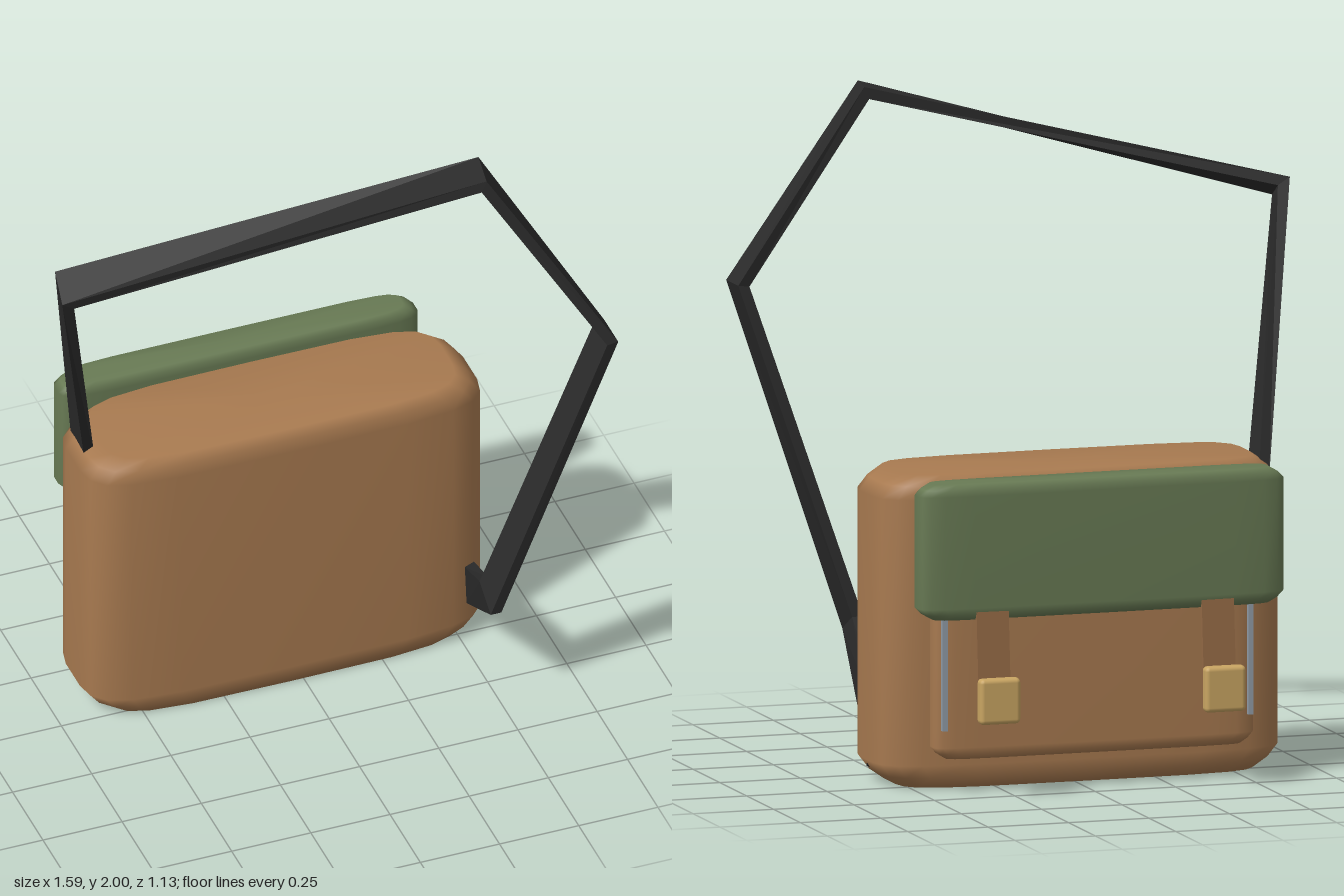
import * as THREE from 'three';
import { RoundedBoxGeometry } from 'three/addons/geometries/RoundedBoxGeometry.js';

const mat = (name, color, side = THREE.FrontSide) => {
  const m = new THREE.MeshStandardMaterial({ color, side });
  m.name = name;
  return m;
};

// Geometry from equal rings of points, each ring listed from +x towards +z
function geometry(points, index) {
  const g = new THREE.BufferGeometry();
  g.setAttribute('position', new THREE.Float32BufferAttribute(points.flat(), 3));
  g.setIndex(index);
  return g;
}

// Soft padded block: rounded plan outline, bevelled top and bottom, smooth normals
function paddedBlock({ cx, cz, hx, hz, y0, y1, bevel, corner }) {
  // [inset in x, fraction of half depth] along one corner
  const quarter = [[0, 0.3], [0.012, 0.58], [0.05, 0.79], [0.12, 0.91], [0.27, 0.985]]
    .map(([inset, f]) => [hx - inset * corner, hz * f]);
  const back = [...quarter].reverse();
  const outline = [
    ...quarter, [0, hz], ...back.map(([x, z]) => [-x, z]),
    ...quarter.map(([x, z]) => [-x, -z]), [0, -hz], ...back.map(([x, z]) => [x, -z]),
  ];
  const n = outline.length;
  const [bx, by, bz] = bevel;
  const levels = [[y0, 1], [y0 + by * 0.45, 0.4], [y0 + by, 0], [y1 - by, 0], [y1 - by * 0.45, 0.4], [y1, 1]];
  const points = [], index = [];
  for (const [y, k] of levels) {
    const sx = 1 - (k * bx) / hx, sz = 1 - (k * bz) / hz;
    for (const [x, z] of outline) points.push([cx + x * sx, y, cz + z * sz]);
  }
  for (let i = 0; i < levels.length - 1; i++) {
    for (let j = 0; j < n; j++) {
      const a = i * n + j, b = i * n + ((j + 1) % n);
      index.push(a, a + n, b, b, a + n, b + n);
    }
  }
  const bottom = points.length, top = bottom + 1, last = (levels.length - 1) * n;
  points.push([cx, y0, cz], [cx, y1, cz]);
  for (let j = 0; j < n; j++) {
    const k = (j + 1) % n;
    index.push(bottom, j, k, top, last + k, last + j);
  }
  const g = geometry(points, index);
  g.computeVertexNormals();
  return g;
}

// Flat band swept through pairs of edge points, with mitred joints
function band(pairs, half) {
  const mid = pairs.map(([a, b]) => new THREE.Vector2((a[0] + b[0]) / 2, (a[1] + b[1]) / 2));
  const normals = mid.slice(1).map((p, i) => {
    const d = p.clone().sub(mid[i]).normalize();
    return new THREE.Vector2(-d.y, d.x);
  });
  const points = [], index = [];
  pairs.forEach(([a, b], i) => {
    const n1 = normals[Math.max(i - 1, 0)], n2 = normals[Math.min(i, normals.length - 1)];
    const m = n1.clone().add(n2).multiplyScalar(half / (1 + n1.dot(n2)));
    const shift = (p, s) => [p[0] + m.x * s, p[1] + m.y * s, p[2]];
    points.push(shift(a, 1), shift(b, 1), shift(b, -1), shift(a, -1));
  });
  for (let i = 0; i < pairs.length - 1; i++) {
    for (let k = 0; k < 4; k++) {
      const a = i * 4 + k, b = i * 4 + ((k + 1) % 4);
      index.push(a, b, a + 4, b, b + 4, a + 4);
    }
  }
  const e = (pairs.length - 1) * 4;
  index.push(0, 2, 1, 0, 3, 2, e, e + 1, e + 2, e, e + 2, e + 3);
  const g = geometry(points, index).toNonIndexed();
  g.computeVertexNormals();
  return g;
}

export function createModel() {
  const group = new THREE.Group();
  group.name = 'shoulderBag';
  const canvas = mat('tan canvas', 0xa87a50);
  const green = mat('olive flap', 0x687a54);
  const leather = mat('brown leather', 0x946a45);
  const brass = mat('brass', 0xc9a562);
  const black = mat('black webbing', 0x2b2b2b);
  const steel = mat('steel', 0x929da8);
  const cx = -0.035;

  const add = (name, geo, material, x = 0, y = 0, z = 0) => {
    const mesh = new THREE.Mesh(geo, material);
    mesh.name = name;
    mesh.position.set(x, y, z);
    group.add(mesh);
    return mesh;
  };

  // Main compartment, pocket and flap
  add('body', paddedBlock({
    cx, cz: -0.135, hx: 0.627, hz: 0.195, y0: 0, y1: 0.935, bevel: [0.075, 0.07, 0.022], corner: 1,
  }), canvas);
  add('pocket', paddedBlock({
    cx, cz: -0.36, hx: 0.497, hz: 0.05, y0: 0.1, y1: 0.8, bevel: [0.04, 0.035, 0.012], corner: 0.5,
  }), canvas);
  add('flap', paddedBlock({
    cx, cz: -0.43, hx: 0.567, hz: 0.062, y0: 0.53, y1: 0.935, bevel: [0.045, 0.035, 0.012], corner: 0.6,
  }), green);

  for (const s of [-1, 1]) {
    // Closing strap hanging from the flap, and its buckle
    const strap = add('closingStrap', new THREE.BoxGeometry(0.1, 0.34, 0.014), leather, cx + s * 0.35, 0.405, -0.493);
    strap.rotation.x = 0.08;
    add('buckle', new RoundedBoxGeometry(0.127, 0.137, 0.042, 2, 0.014), brass, cx + s * 0.35, 0.295, -0.547);
    // Zip line near the pocket edge
    add('zip', new THREE.BoxGeometry(0.016, 0.42, 0.014), steel, cx + s * 0.475, 0.4, -0.414);
  }

  // Shoulder strap: inner and outer edge points at each bend
  add('shoulderStrap', band([
    [[-0.61, 0.87, -0.245], [-0.61, 0.85, -0.13]],
    [[-0.763, 1.7, 0.03], [-0.78, 1.655, 0.135]],
    [[0.44, 1.982, 0.31], [0.42, 1.982, 0.43]],
    [[0.775, 1.4, 0.45], [0.775, 1.4, 0.563]],
    [[0.472, 0.42, 0.3], [0.468, 0.37, 0.403]],
    [[0.53, 0.265, 0.02], [0.537, 0.125, 0.015]],
    [[0.56, 0.16, -0.16], [0.565, 0.04, -0.11]],
  ], 0.016), black);

  return group;
}
